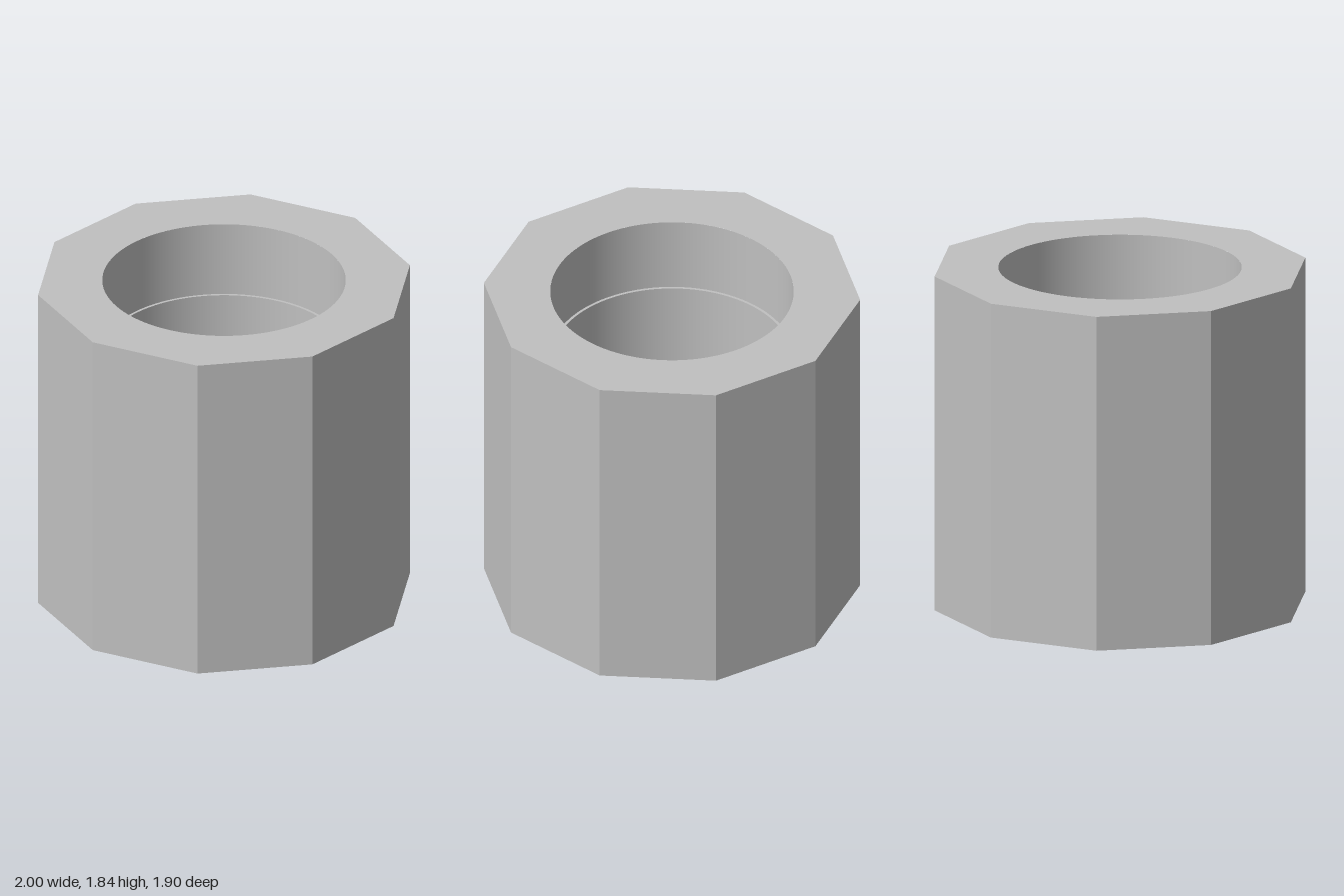
import * as THREE from 'three';

const HEIGHT = 1.835;
const LEDGE_Y = 1.42;   // small step in the socket
const FLOOR_Y = 0.92;   // socket floor
const KEY_Y = 0.6;      // top of the flat in the shaft hole
const RIM_R = 0.645, SOCKET_R = 0.63, HOLE_R = 0.535, FLAT_Z = 0.34;
const SEGMENTS = 96;

export function createModel() {
  const group = new THREE.Group();
  const metal = new THREE.MeshStandardMaterial({ color: 0xc0c0c0 });
  metal.name = 'plain grey';

  const add = (name, geometry) => {
    const mesh = new THREE.Mesh(geometry, metal);
    mesh.name = name;
    group.add(mesh);
    return mesh;
  };

  // Ten-sided outer wall, a corner on each side of x
  const wall = new THREE.CylinderGeometry(1, 1, HEIGHT, 10, 1, true, Math.PI / 2).toNonIndexed();
  wall.computeVertexNormals();
  add('outerWall', wall).position.y = HEIGHT / 2;

  const decagon = () => {
    const points = [];
    for (let i = 0; i < 10; i++) {
      const a = (i * Math.PI) / 5;
      points.push(new THREE.Vector2(Math.cos(a), Math.sin(a)));
    }
    return new THREE.Shape(points);
  };

  // Top face around the round socket
  const top = decagon();
  top.holes.push(new THREE.Path().absarc(0, 0, RIM_R, 0, Math.PI * 2));
  add('topFace', new THREE.ShapeGeometry(top, SEGMENTS).rotateX(-Math.PI / 2).translate(0, HEIGHT, 0));

  // Bottom face around the D-shaped hole
  const b = Math.asin(FLAT_Z / HOLE_R);
  const bottom = decagon();
  bottom.holes.push(new THREE.Path().absarc(0, 0, HOLE_R, -b, Math.PI + b));
  add('bottomFace', new THREE.ShapeGeometry(bottom, SEGMENTS).rotateX(Math.PI / 2));

  // Inner surfaces, each turned separately so the steps stay sharp
  const turned = (name, r0, y0, r1, y1, start = 0, length = Math.PI * 2) =>
    add(name, new THREE.LatheGeometry(
      [new THREE.Vector2(r0, y0), new THREE.Vector2(r1, y1)], SEGMENTS, start, length));
  turned('upperBore', RIM_R, HEIGHT, RIM_R, LEDGE_Y);
  turned('boreLedge', RIM_R, LEDGE_Y, SOCKET_R, LEDGE_Y);
  turned('lowerBore', SOCKET_R, LEDGE_Y, SOCKET_R, FLOOR_Y);
  turned('socketFloor', SOCKET_R, FLOOR_Y, HOLE_R, FLOOR_Y);
  turned('shaftHole', HOLE_R, FLOOR_Y, HOLE_R, KEY_Y);
  const half = Math.PI / 2 + b;
  turned('shaftHoleKeyed', HOLE_R, KEY_Y, HOLE_R, 0, -half, half * 2);

  // Flat at the back of the shaft hole and its top
  add('keyFlat', new THREE.PlaneGeometry(2 * HOLE_R * Math.cos(b), KEY_Y))
    .position.set(0, KEY_Y / 2, -FLAT_Z);
  const segment = new THREE.Shape();
  segment.absarc(0, 0, HOLE_R, b, Math.PI - b);
  add('keyTop', new THREE.ShapeGeometry(segment, SEGMENTS).rotateX(-Math.PI / 2).translate(0, KEY_Y, 0));

  return group;
}
